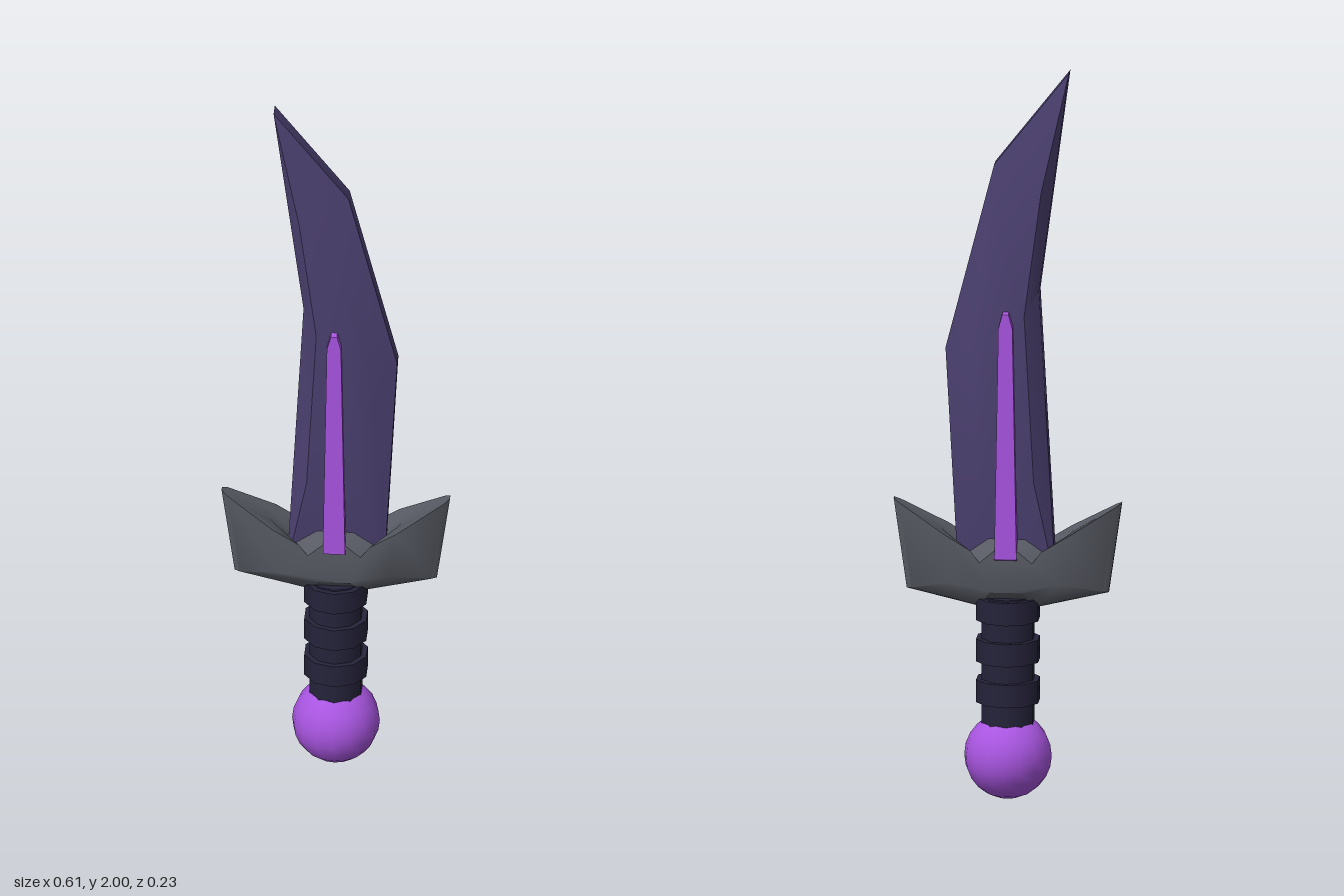
import * as THREE from 'three';
import { toCreasedNormals } from 'three/addons/utils/BufferGeometryUtils.js';

const material = (name, color) => new THREE.MeshStandardMaterial({ name, color });

// Joins copies of a counter-clockwise outline, each scaled about a centre and
// placed at its own depth. Rings run from the middle out; the back is mirrored.
function loft(outline, rings, [cx, cy], crease) {
  const all = [...rings].reverse().map(([s, z]) => [s, -z]).concat(rings);
  const n = outline.length;
  const positions = [];
  const index = [];
  for (const [s, z] of all) {
    for (const [x, y] of outline) positions.push(cx + (x - cx) * s, cy + (y - cy) * s, z);
  }
  for (let r = 0; r < all.length - 1; r++) {
    for (let k = 0; k < n; k++) {
      const a = r * n + k;
      const b = r * n + (k + 1) % n;
      index.push(a, b, b + n, a, b + n, a + n);
    }
  }
  const front = (all.length - 1) * n;
  const points = outline.map(([x, y]) => new THREE.Vector2(x, y));
  for (const [a, b, c] of THREE.ShapeUtils.triangulateShape(points, [])) {
    index.push(front + a, front + b, front + c, c, b, a);
  }
  const geometry = new THREE.BufferGeometry();
  geometry.setAttribute('position', new THREE.Float32BufferAttribute(positions, 3));
  geometry.setIndex(index);
  return toCreasedNormals(geometry, crease);
}

export function createModel() {
  const group = new THREE.Group();
  const bladeMaterial = material('dusky violet blade', 0x4b4070);
  const guardMaterial = material('grey guard', 0x585b64);
  const gripMaterial = material('dark grip', 0x25233a);
  const gemMaterial = material('bright purple', 0xa855e0);

  function add(name, geometry, mat, y = 0) {
    const mesh = new THREE.Mesh(geometry, mat);
    mesh.name = name;
    mesh.position.y = y;
    group.add(mesh);
  }

  // Curved blade, thick along the middle and thin at the edges
  const bladeOutline = [
    [-0.13, 0.6], [0.13, 0.6], [0.165, 1.24], [0.035, 1.745], [-0.165, 2.0], [-0.085, 1.4],
  ];
  add('blade', loft(bladeOutline, [[1, 0.022], [0.57, 0.057]], [0, 1.253], 0.7), bladeMaterial);

  // Raised purple strip showing on both faces of the blade
  const stripOutline = [
    [-0.03, 0.67], [0.03, 0.67], [0.019, 1.31], [0.008, 1.35], [-0.008, 1.35], [-0.019, 1.31],
  ];
  add('bladeStrip', loft(stripOutline, [[1, 0.068], [0.99, 0.075]], [0, 1.01], 0.5), gemMaterial);

  // Horned guard, mirrored from its left half
  const half = [
    [0.08, 0.53], [0.27, 0.575], [0.305, 0.82], [0.175, 0.74], [0.13, 0.68], [0.06, 0.74],
  ];
  const guardOutline = [...half, ...half.map(([x, y]) => [-x, y]).reverse()];
  const guardRings = [[1, 0.008], [0.95, 0.022], [0.54, 0.067]];
  add('guard', loft(guardOutline, guardRings, [0, 0.64], 0.75), guardMaterial);

  // Grip core with three raised bands
  add('grip', new THREE.CylinderGeometry(0.072, 0.072, 0.36, 10), gripMaterial, 0.38);
  for (const y of [0.3, 0.412, 0.525]) {
    add('gripBand', new THREE.CylinderGeometry(0.087, 0.087, 0.062, 10), gripMaterial, y);
  }

  // Round pommel
  add('pommel', new THREE.SphereGeometry(0.117, 16, 12), gemMaterial, 0.12);

  return group;
}
